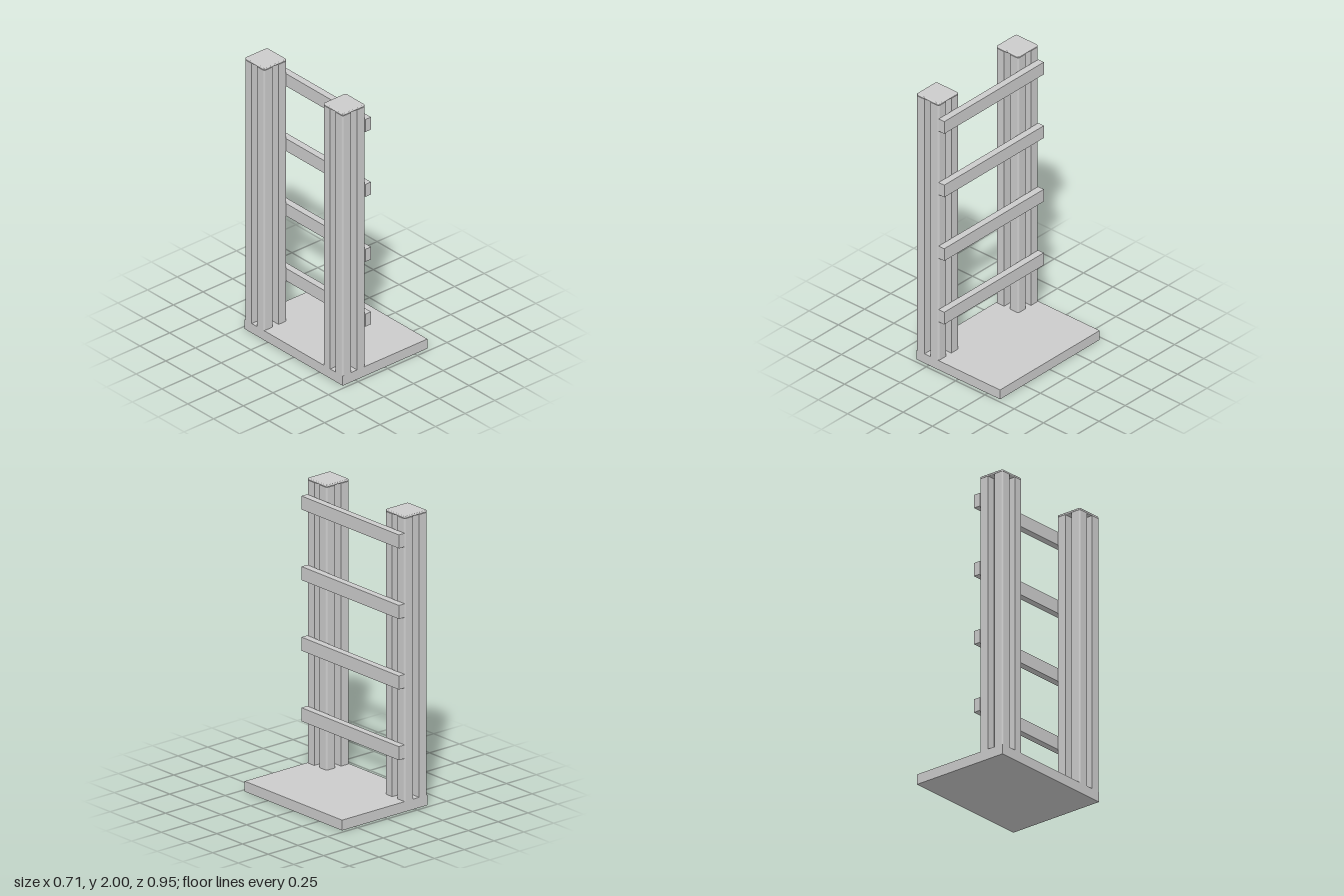
import * as THREE from 'three';

const material = new THREE.MeshStandardMaterial({ color: 0xcccccc });
const BASE_TOP = 0.07, CAP_BOTTOM = 1.985;
const POST = 0.19, SLOT = 0.052, SLOT_DEPTH = 0.06, RADIUS = 0.012;
const POST_X = -0.262, POST_Z = 0.38;

function addBox(group, name, size, position) {
  const mesh = new THREE.Mesh(new THREE.BoxGeometry(...size), material);
  mesh.name = name;
  mesh.position.set(...position);
  group.add(mesh);
}

// Rounded square outline, optionally with a slot in the middle of each side
function squareOutline(size, radius, slotted) {
  const h = size / 2, s = SLOT / 2, d = h - SLOT_DEPTH;
  const points = [];
  for (let side = 0; side < 4; side++) {
    const corner = [];
    if (slotted) corner.push([d, -s], [d, s], [h, s]);
    for (let i = 0; i <= 4; i++) {
      const a = (i / 4) * Math.PI / 2;
      corner.push([h - radius + radius * Math.cos(a), h - radius + radius * Math.sin(a)]);
    }
    if (slotted) corner.push([s, h]);
    for (const [x, y] of corner) {
      points.push(new THREE.Vector2(x, y).rotateAround(new THREE.Vector2(), side * Math.PI / 2));
    }
  }
  return new THREE.Shape(points);
}

// Extrudes an outline upward from the given height
function extrudeUp(outline, y, options) {
  const geometry = new THREE.ExtrudeGeometry(outline, options);
  geometry.rotateX(-Math.PI / 2);
  geometry.translate(0, y, 0);
  return geometry;
}

export function createModel() {
  const model = new THREE.Group();
  model.name = 'rackStand';

  addBox(model, 'basePlate', [0.714, BASE_TOP, 0.95], [0, BASE_TOP / 2, 0]);

  // Two slotted posts, each closed by a softened cap
  const postGeometry = extrudeUp(squareOutline(POST, RADIUS, true), BASE_TOP,
    { depth: CAP_BOTTOM - BASE_TOP, bevelEnabled: false });
  const bevel = 0.006;
  const capGeometry = extrudeUp(squareOutline(POST - 2 * bevel, RADIUS - bevel, false), CAP_BOTTOM + bevel,
    { depth: 0.003, bevelSize: bevel, bevelThickness: bevel, bevelSegments: 3 });
  for (const side of [-1, 1]) {
    const post = new THREE.Group();
    post.name = side > 0 ? 'frontPost' : 'backPost';
    const shaft = new THREE.Mesh(postGeometry, material);
    shaft.name = 'slottedShaft';
    const cap = new THREE.Mesh(capGeometry, material);
    cap.name = 'postCap';
    post.add(shaft, cap);
    post.position.set(POST_X, 0, side * POST_Z);
    model.add(post);
  }

  // Crossbars spanning both posts
  for (let i = 0; i < 4; i++) {
    addBox(model, `crossbar${i + 1}`, [0.048, 0.092, 0.95], [-0.143, 0.408 + i * 0.478, 0]);
  }
  return model;
}
